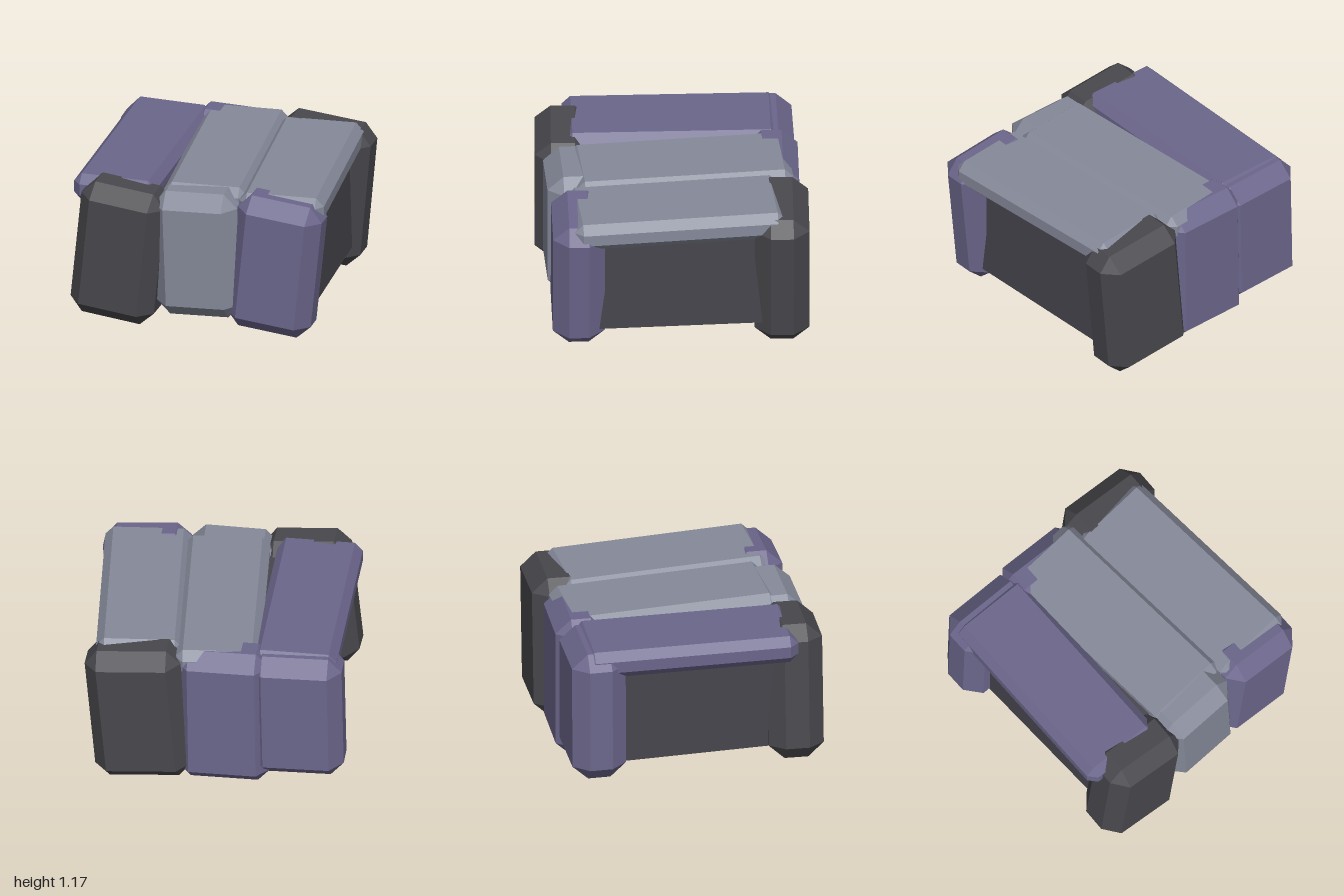
import * as THREE from 'three';
import { ConvexGeometry } from 'three/addons/geometries/ConvexGeometry.js';

const material = (name, color) => {
  const m = new THREE.MeshStandardMaterial({ color });
  m.name = name;
  return m;
};

// Box with every edge cut by chamfers cx, cy, cz: three points at each corner
function chamferBox(w, h, d, cx, cy, cz) {
  const points = [];
  for (const x of [-w / 2, w / 2])
    for (const y of [-h / 2, h / 2])
      for (const z of [-d / 2, d / 2]) {
        const ix = x - Math.sign(x) * cx, iy = y - Math.sign(y) * cy, iz = z - Math.sign(z) * cz;
        points.push(
          new THREE.Vector3(x, iy, iz),
          new THREE.Vector3(ix, y, iz),
          new THREE.Vector3(ix, iy, z));
      }
  return new ConvexGeometry(points);
}

export function createModel() {
  const group = new THREE.Group();
  group.name = 'stoneBlock';
  const purple = material('purpleStone', 0x6b668b);
  const grey = material('greyStone', 0x858999);
  const dark = material('darkStone', 0x48484d);
  const coreDark = material('coreStone', 0x48464e);

  const add = (name, geometry, mat, position, rotation = [0, 0, 0]) => {
    const mesh = new THREE.Mesh(geometry, mat);
    mesh.name = name;
    mesh.position.set(...position);
    mesh.rotation.set(...rotation);
    group.add(mesh);
  };

  // Plain inner block
  add('core', new THREE.BoxGeometry(1.66, 0.85, 1.46), coreDark, [0, 0.625, 0]);

  // Upright slabs: name, material, width, height, depth, centre, yaw, lean
  const uprights = [
    ['frontRightSlab', dark, 0.66, 1.08, 0.42, [-0.6, 0.62, 0.775], -0.07, -0.1],
    ['frontMiddleSlab', grey, 0.65, 1.0, 0.4, [0.0, 0.66, 0.75], 0, 0.035],
    ['frontLeftSlab', purple, 0.66, 1.08, 0.39, [0.6, 0.62, 0.75], -0.04, -0.1],
    ['backRightSlab', purple, 0.7, 1.04, 0.41, [-0.63, 0.63, -0.755], -0.03, -0.02],
    ['backMiddleSlab', purple, 0.71, 1.14, 0.39, [-0.08, 0.598, -0.765], -0.05, -0.015],
    ['backLeftSlab', dark, 0.73, 1.12, 0.41, [0.56, 0.595, -0.785], -0.055, -0.09],
  ];
  for (const [name, mat, w, h, d, position, yaw, lean] of uprights)
    add(name, chamferBox(w, h, d, 0.1, 0.11, 0.12), mat, position, [0, yaw, lean]);

  // Long slabs laid across the top: name, material, width, length, centre, yaw
  const tops = [
    ['topRightSlab', purple, 0.64, 1.62, [-0.637, 1.055, -0.04], -0.04],
    ['topMiddleSlab', grey, 0.64, 1.64, [0.0, 1.06, -0.07], 0.04],
    ['topLeftSlab', grey, 0.65, 1.6, [0.6, 1.06, 0.01], 0.045],
  ];
  for (const [name, mat, w, length, position, yaw] of tops)
    add(name, chamferBox(w, 0.22, length, 0.06, 0.065, 0.065), mat, position, [0, yaw, 0]);

  return group;
}
